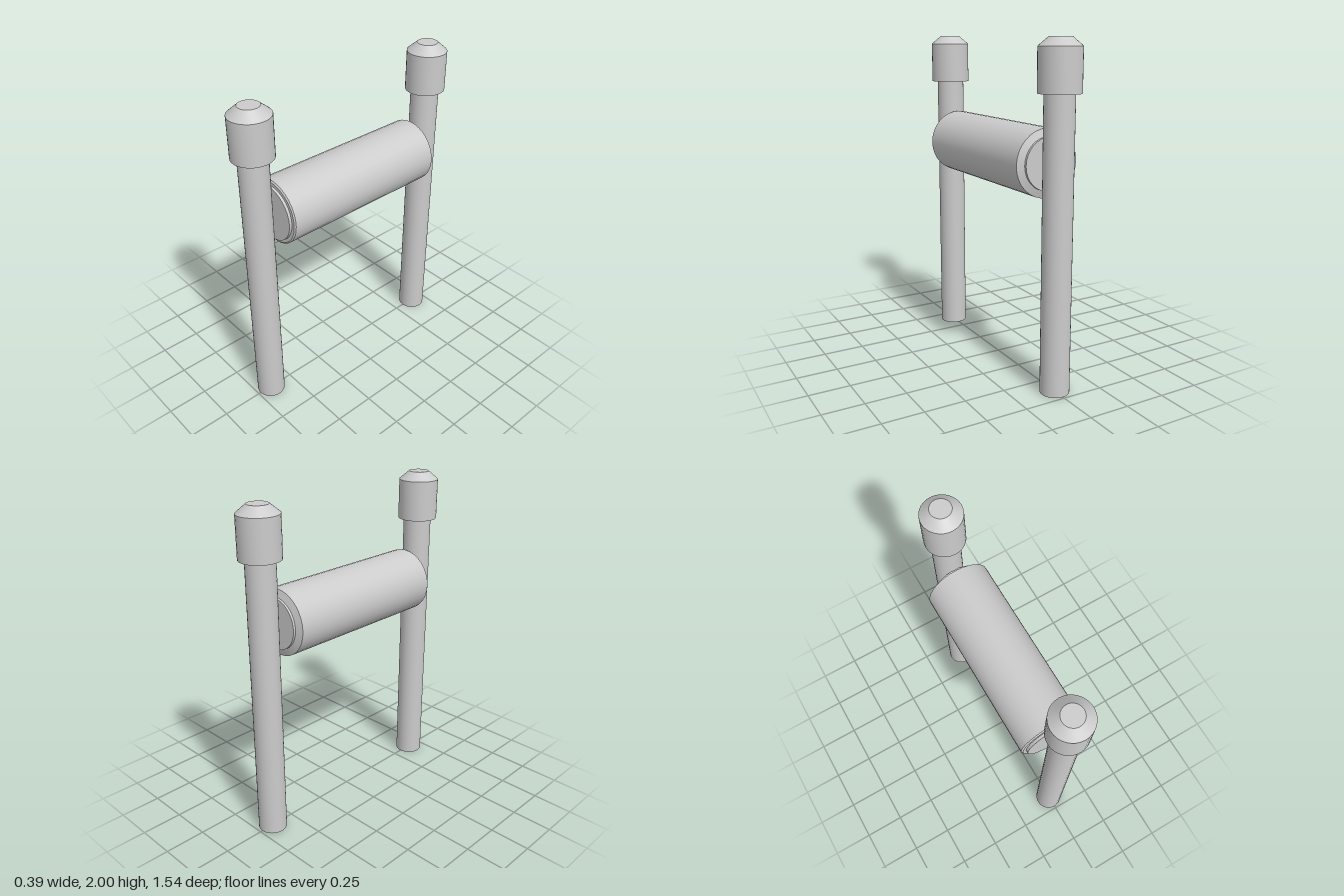
import * as THREE from 'three';
import { toCreasedNormals } from 'three/addons/utils/BufferGeometryUtils.js';

const material = new THREE.MeshStandardMaterial({ color: 0xcccccc });

// Turned part from [radius, height] pairs listed bottom to top
function turned(name, profile) {
  const points = profile.map(([r, y]) => new THREE.Vector2(r, y));
  const geometry = toCreasedNormals(new THREE.LatheGeometry(points, 32), 0.4);
  const mesh = new THREE.Mesh(geometry, material);
  mesh.name = name;
  return mesh;
}

export function createModel() {
  const model = new THREE.Group();
  model.name = 'rollerStand';

  // Two upright posts with chamfered caps
  for (const [name, z] of [['frontPost', 0.65], ['backPost', -0.65]]) {
    const post = new THREE.Group();
    post.name = name;
    post.add(
      turned('shaft', [[0, 0], [0.086, 0], [0.086, 1.72], [0, 1.72]]),
      turned('cap', [[0, 1.705], [0.121, 1.705], [0.121, 1.95], [0.062, 2], [0, 2]])
    );
    post.position.z = z;
    model.add(post);
  }

  // Horizontal roller with chamfered rims and a raised disc at each end
  const roller = turned('roller', [
    [0, -0.567], [0.153, -0.567], [0.153, -0.552],
    [0.197, -0.538], [0.197, 0.536],
    [0.188, 0.543], [0.168, 0.543], [0.168, 0.56], [0, 0.56],
  ]);
  roller.rotation.x = Math.PI / 2;
  roller.position.y = 1.315;
  model.add(roller);

  return model;
}
